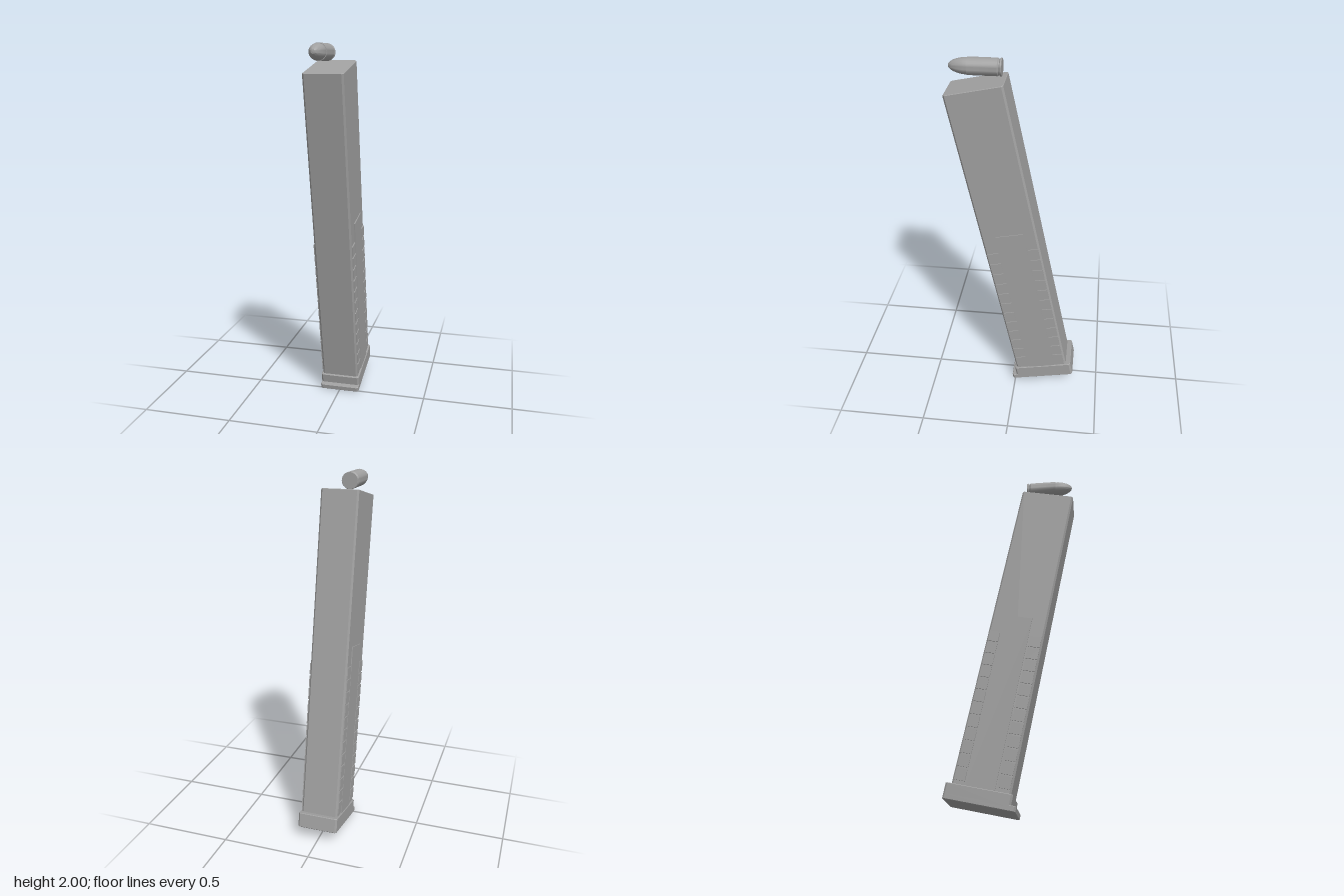
import * as THREE from 'three';
import { toCreasedNormals } from 'three/addons/utils/BufferGeometryUtils.js';

const steel = new THREE.MeshStandardMaterial({ color: 0xa0a0a0 });
steel.name = 'grey steel';

// Upright prism with chamfered corners and a thin bevel round both ends.
function prism(name, halfWidth, back, front, bottom, top, chamfer, bevel) {
  const w = halfWidth - bevel, d = (front - back) / 2 - bevel, c = chamfer;
  const shape = new THREE.Shape([
    [-w + c, -d], [w - c, -d], [w, -d + c], [w, d - c],
    [w - c, d], [-w + c, d], [-w, d - c], [-w, -d + c],
  ].map(([x, y]) => new THREE.Vector2(x, y)));
  const geo = new THREE.ExtrudeGeometry(shape, {
    depth: top - bottom - 2 * bevel, bevelEnabled: true,
    bevelThickness: bevel, bevelSize: bevel, bevelSegments: 1,
  });
  geo.rotateX(-Math.PI / 2);
  geo.translate(0, bottom + bevel, (front + back) / 2);
  const mesh = new THREE.Mesh(geo, steel);
  mesh.name = name;
  return mesh;
}

// Shallow raised pad on one side wall.
function pad(name, side, back, front, bottom, top) {
  const inner = 0.098, outer = 0.11;
  const mesh = new THREE.Mesh(
    new THREE.BoxGeometry(outer - inner, top - bottom, front - back), steel);
  mesh.position.set(side * (inner + outer) / 2, (bottom + top) / 2, (front + back) / 2);
  mesh.name = name;
  return mesh;
}

export function createModel() {
  const model = new THREE.Group();
  model.name = 'magazineWithCartridge';

  // Leaning magazine; its origin is the front lower edge of the base
  const magazine = new THREE.Group();
  magazine.name = 'magazine';
  magazine.position.set(0, 0.004, 0.013);
  magazine.rotation.x = THREE.MathUtils.degToRad(11.8);
  model.add(magazine);

  magazine.add(prism('body', 0.105, -0.346, -0.038, 0.07, 1.88, 0.008, 0.003));

  // Base with a projecting lip at the front
  magazine.add(prism('baseUpper', 0.114, -0.374, -0.027, 0.015, 0.083, 0.008, 0.003));
  magazine.add(prism('baseLip', 0.114, -0.374, 0, 0, 0.03, 0.008, 0.003));

  // Long centre panel and two columns of grip blocks on each side
  const rows = 12, first = 0.104, pitch = 0.0703, gap = 0.009;
  for (const side of [-1, 1]) {
    magazine.add(pad('sidePanel', side, -0.274, -0.121, 0.08, 1.044));
    for (let i = 0; i < rows; i++) {
      const y = first + i * pitch;
      magazine.add(pad('frontGripBlock', side, -0.112, -0.048, y, y + pitch - gap));
      magazine.add(pad('backGripBlock', side, -0.337, -0.28, y, y + pitch - gap));
    }
  }

  // Cartridge lying level above the magazine, tip forward
  const cartridge = new THREE.Group();
  cartridge.name = 'cartridge';
  cartridge.position.set(-0.048, 1.955, 0.082);
  model.add(cartridge);
  const turned = (name, points) => {
    const geo = new THREE.LatheGeometry(points.map(([r, z]) => new THREE.Vector2(r, z)), 32);
    geo.rotateX(Math.PI / 2);
    const mesh = new THREE.Mesh(toCreasedNormals(geo, 0.5), steel);
    mesh.name = name;
    cartridge.add(mesh);
  };
  turned('case', [
    [0, 0], [0.043, 0], [0.045, 0.002], [0.045, 0.008], [0.04, 0.013],
    [0.04, 0.017], [0.045, 0.022], [0.045, 0.175], [0, 0.175],
  ]);
  turned('bullet', [
    [0.042, 0.17], [0.042, 0.19], [0.04, 0.207], [0.035, 0.228],
    [0.028, 0.247], [0.02, 0.261], [0.011, 0.27], [0, 0.273],
  ]);
  return model;
}
